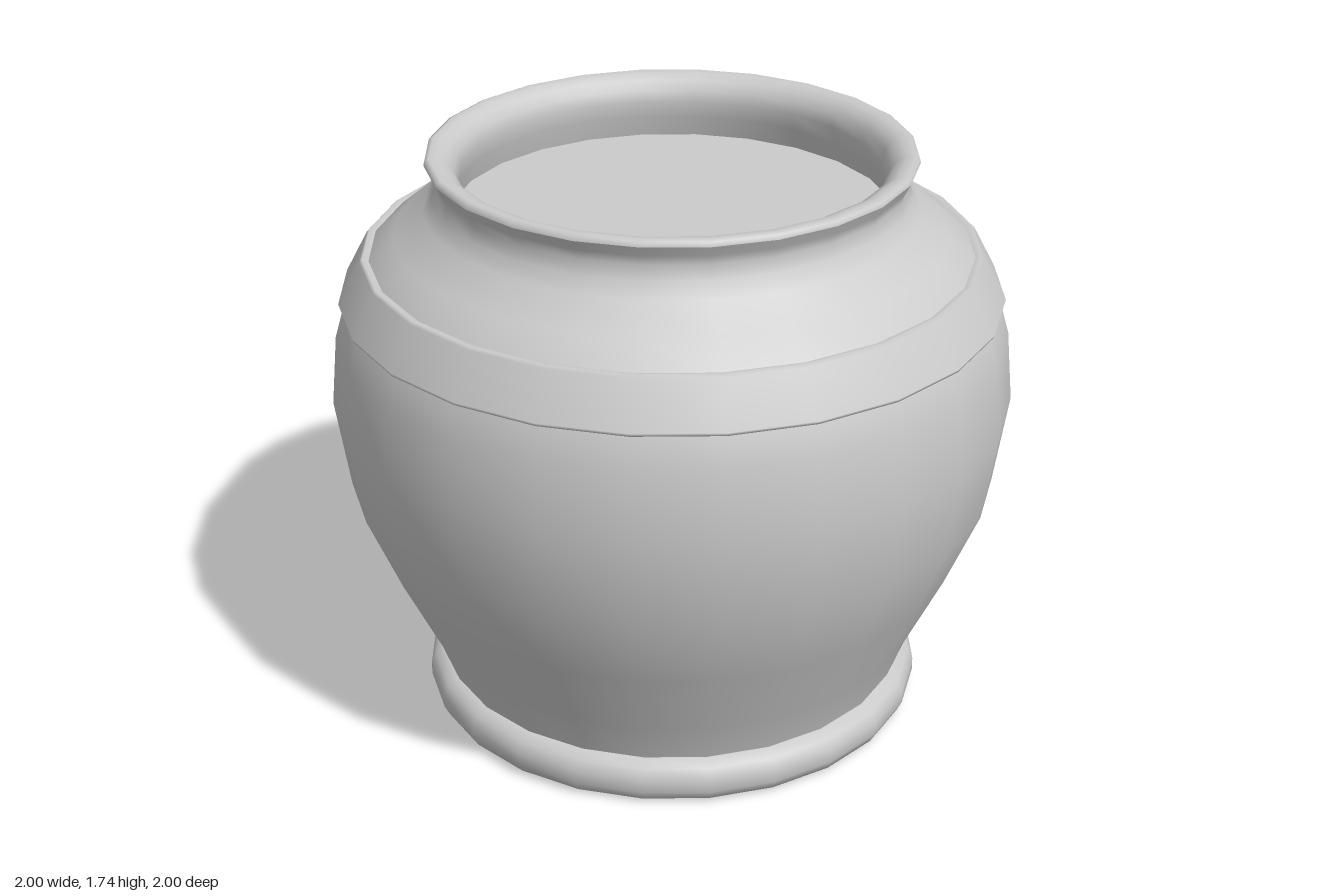
import * as THREE from 'three';

const SEGMENTS = 24;

export function createModel() {
  const group = new THREE.Group();
  const material = new THREE.MeshStandardMaterial({ color: 0xcccccc, side: THREE.DoubleSide });

  // Profiles are [radius, height], running upward along the outside.
  const turn = (name, profile) => {
    const points = profile.map(([r, y]) => new THREE.Vector2(r, y));
    const mesh = new THREE.Mesh(new THREE.LatheGeometry(points, SEGMENTS), material);
    mesh.name = name;
    group.add(mesh);
  };

  // Rounded ring under the pot, its seam hidden beneath the body wall
  turn('baseRing', [
    [0.69, 0.135], [0.65, 0.122], [0.628, 0.1], [0.62, 0.065], [0.63, 0.028],
    [0.665, 0.005], [0.71, 0.002], [0.738, 0.015], [0.753, 0.045], [0.753, 0.085],
    [0.738, 0.117], [0.71, 0.133], [0.69, 0.135],
  ]);

  // Bulging body, open at the foot, sweeping through the shoulder to the neck
  turn('body', [
    [0.69, 0.1], [0.705, 0.14], [0.75, 0.26], [0.86, 0.49], [0.96, 0.73],
    [1, 1], [0.98, 1.21], [0.945, 1.33], [0.88, 1.435], [0.8, 1.502],
    [0.715, 1.575], [0.69, 1.62], [0.677, 1.66], [0.69, 1.69], [0.705, 1.72],
  ]);

  // Raised band with softly rounded edges
  turn('shoulderBand', [
    [0.945, 1.3], [0.963, 1.302], [0.967, 1.312], [0.9, 1.438], [0.892, 1.446], [0.872, 1.44],
  ]);

  // Lip rolling over into the mouth and undercut below
  turn('lip', [
    [0.705, 1.72], [0.702, 1.733], [0.69, 1.738], [0.665, 1.735], [0.64, 1.722],
    [0.62, 1.695], [0.612, 1.66], [0.62, 1.61], [0.64, 1.54],
  ]);

  // Flat surface filling the mouth
  turn('mouthFill', [[0.64, 1.545], [0, 1.545]]);

  return group;
}
